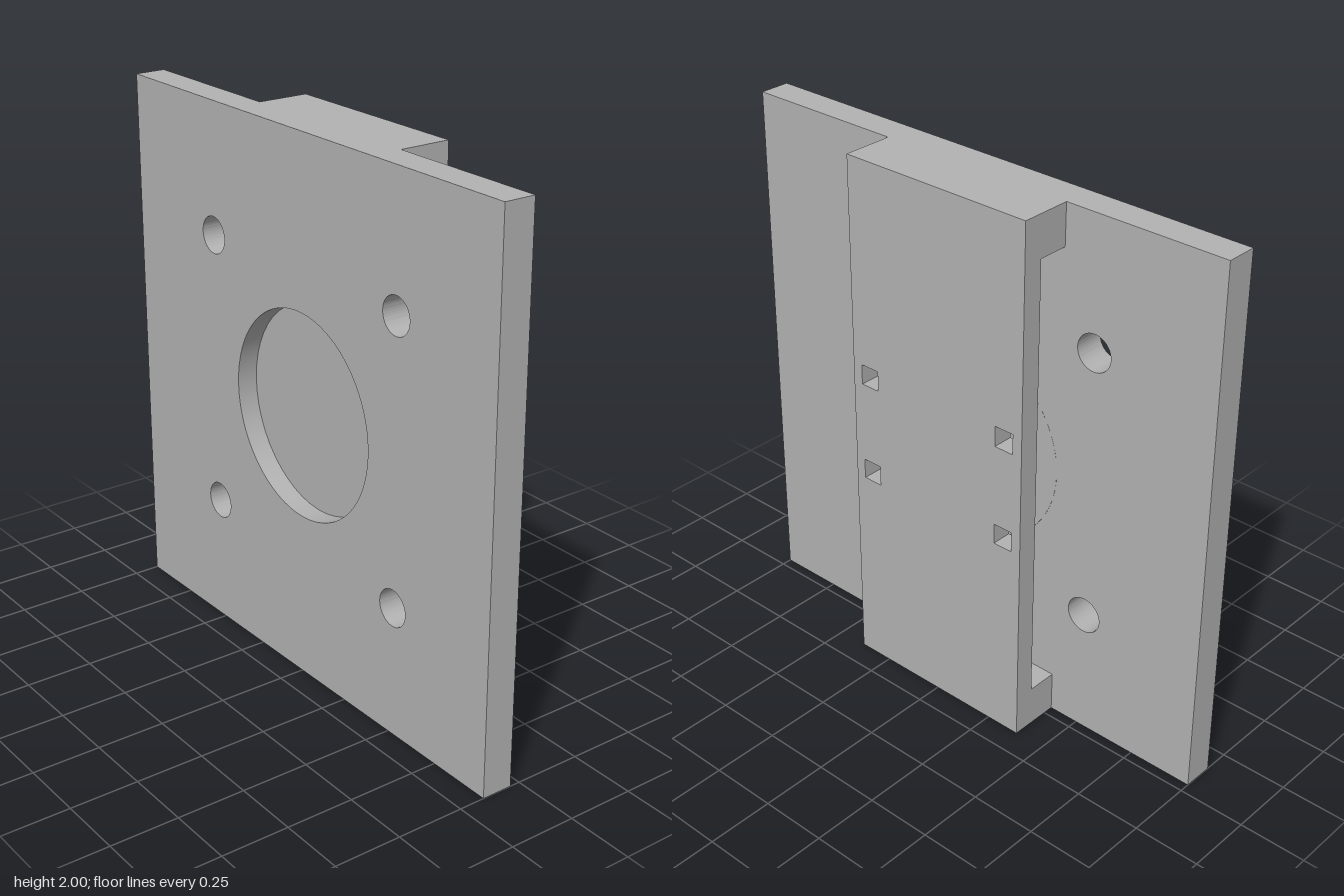
import * as THREE from 'three';
import { toCreasedNormals } from 'three/addons/utils/BufferGeometryUtils.js';

const U = 1 / 13; // base module of the part
const SEGMENTS = 48;

// Rectangle centred on x = 0, standing on y = 0
function panelShape(width, height) {
  const w = width / 2;
  return new THREE.Shape([
    new THREE.Vector2(-w, 0), new THREE.Vector2(w, 0),
    new THREE.Vector2(w, height), new THREE.Vector2(-w, height),
  ]);
}

function roundHole(x, y, r) {
  return new THREE.Path().absarc(x, y, r, 0, Math.PI * 2, true);
}

function squareHole(x, y, size) {
  const h = size / 2;
  return new THREE.Path([
    new THREE.Vector2(x - h, y - h), new THREE.Vector2(x - h, y + h),
    new THREE.Vector2(x + h, y + h), new THREE.Vector2(x + h, y - h),
  ]);
}

function extrudePanel(shape, depth) {
  const geo = new THREE.ExtrudeGeometry(shape, {
    depth, bevelEnabled: false, curveSegments: SEGMENTS,
  });
  return toCreasedNormals(geo, Math.PI / 6);
}

export function createModel() {
  const group = new THREE.Group();
  const grey = new THREE.MeshStandardMaterial({ color: 0xb2b2b2 });
  grey.name = 'grey';

  function add(name, geometry, x, y, z) {
    const mesh = new THREE.Mesh(geometry, grey);
    mesh.name = name;
    mesh.position.set(x, y, z);
    group.add(mesh);
    return mesh;
  }

  const front = 2 * U, plateBack = 0.5 * U, bridgeFront = -U, back = -2 * U;
  const recessRadius = 0.378;
  const corners = [[-1, -1], [1, -1], [1, 1], [-1, 1]];

  // Square plate with four bolt holes and the large round opening
  const plate = panelShape(2, 2);
  for (const [sx, sy] of corners) plate.holes.push(roundHole(sx * 0.516, 1 + sy * 0.516, 0.068));
  plate.holes.push(roundHole(0, 1, recessRadius));
  add('mountingPlate', extrudePanel(plate, front - plateBack), 0, 0, plateBack);

  // Disc closing the opening, leaving a shallow recess in front
  const floorDepth = 0.5 * U;
  const disc = new THREE.CylinderGeometry(recessRadius, recessRadius, floorDepth, SEGMENTS);
  disc.rotateX(Math.PI / 2);
  add('recessFloor', disc, 0, 1, plateBack + floorDepth / 2);

  // Rear bridge panel with four square slots
  const bridge = panelShape(10 * U, 2);
  for (const [sx, sy] of corners) bridge.holes.push(squareHole(sx * 4 * U, 1 + sy * 2.5 * U, U));
  add('bridgePanel', extrudePanel(bridge, bridgeFront - back), 0, 0, back);

  // Spacer blocks joining bridge and plate at both ends
  const gap = plateBack - bridgeFront;
  for (const [name, y] of [['lowerSpacer', U], ['upperSpacer', 2 - U]]) {
    add(name, new THREE.BoxGeometry(10 * U, 2 * U, gap), 0, y, bridgeFront + gap / 2);
  }

  return group;
}
